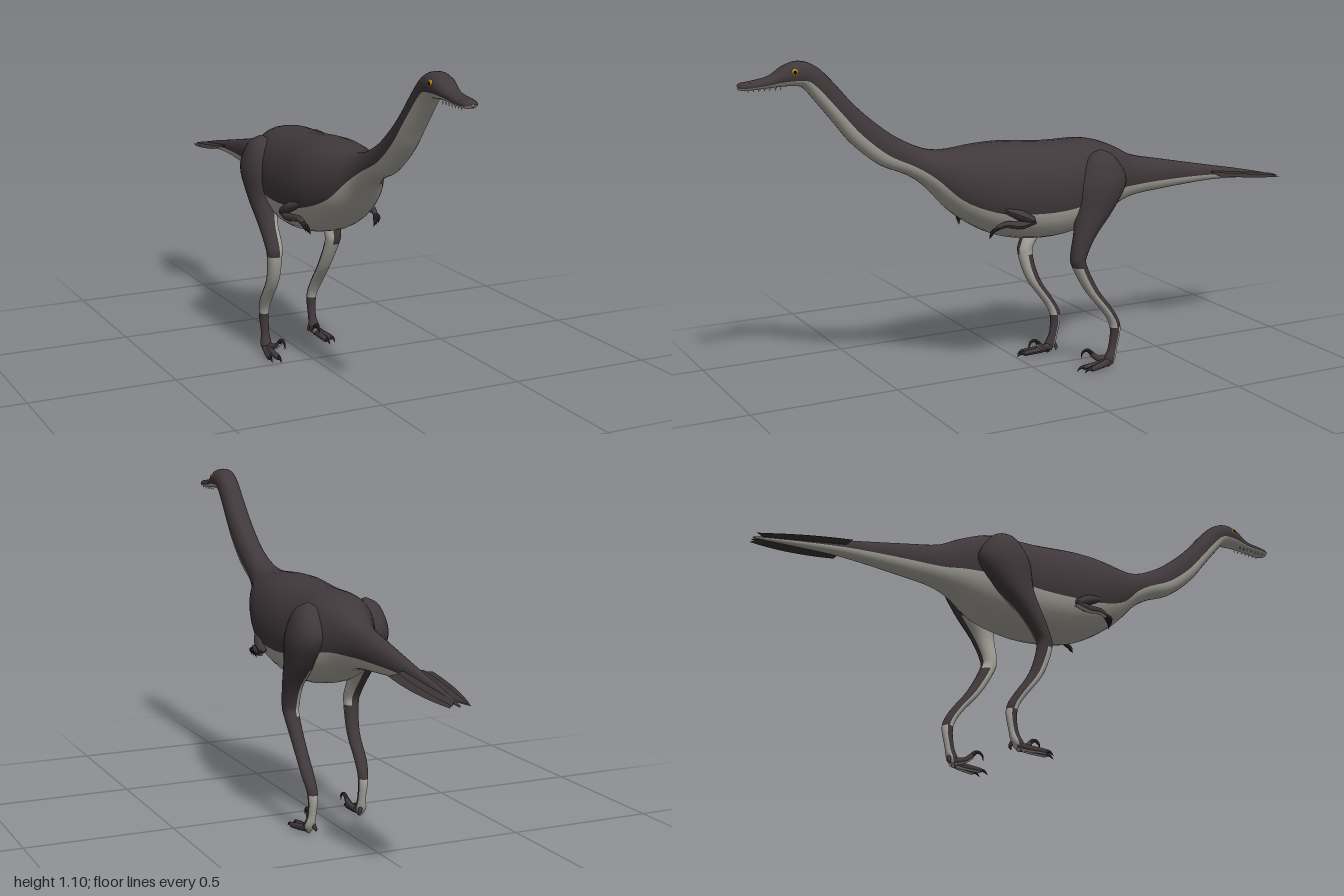
import * as THREE from 'three';

const mat = (name, color, side = THREE.FrontSide) => {
  const m = new THREE.MeshStandardMaterial({ color, side });
  m.name = name;
  return m;
};

// Catmull-Rom through rows of numbers, with `sub` steps between rows
function smoothRows(rows, sub) {
  const out = [], at = i => rows[Math.min(Math.max(i, 0), rows.length - 1)];
  for (let i = 0; i < rows.length - 1; i++) {
    for (let s = 0; s < sub; s++) {
      const t = s / sub;
      out.push(rows[i].map((b, k) => {
        const a = at(i - 1)[k], c = at(i + 1)[k], d = at(i + 2)[k];
        return b + 0.5 * t * (c - a + t * (2 * a - 5 * b + 4 * c - d + t * (3 * (b - c) + d - a)));
      }));
    }
  }
  out.push(rows[rows.length - 1]);
  return out;
}

// Two material groups: 0 = dark, 1 = pale
function setTones(geo, dark, pale) {
  geo.setIndex([...dark, ...pale]);
  geo.clearGroups();
  geo.addGroup(0, dark.length, 0);
  geo.addGroup(dark.length, pale.length, 1);
  return geo;
}

// Skin over closed rings: point(row, j) gives a position, isPale(row, j) the tone
function loft(rows, n, point, isPale, flip = false) {
  const pos = [], dark = [], pale = [];
  rows.forEach(r => { for (let j = 0; j < n; j++) pos.push(...point(r, j)); });
  for (let i = 0; i < rows.length - 1; i++) {
    for (let j = 0; j < n; j++) {
      const k = (j + 1) % n;
      const a = i * n + j, d = i * n + k, b = a + n, c = d + n;
      (isPale(rows[i], j) ? pale : dark).push(...(flip ? [a, c, d, a, b, c] : [a, d, c, a, c, b]));
    }
  }
  const geo = new THREE.BufferGeometry();
  geo.setAttribute('position', new THREE.Float32BufferAttribute(pos, 3));
  setTones(geo, dark, pale);
  geo.computeVertexNormals();
  return geo;
}

// Tapered tube through points [x, y, z, radius]; downward faces are pale
function taper(points, seg = 12, sides = 8) {
  const curve = new THREE.CatmullRomCurve3(points.map(p => new THREE.Vector3(p[0], p[1], p[2])));
  const geo = new THREE.TubeGeometry(curve, seg, 1, sides);
  const p = geo.attributes.position, v = new THREE.Vector3();
  for (let i = 0; i <= seg; i++) {
    const u = i / seg, c = curve.getPointAt(u);
    const f = curve.getUtoTmapping(u) * (points.length - 1);
    const k = Math.min(Math.floor(f), points.length - 2);
    const r = THREE.MathUtils.lerp(points[k][3], points[k + 1][3], f - k);
    for (let j = 0; j <= sides; j++) {
      const q = i * (sides + 1) + j;
      v.fromBufferAttribute(p, q).sub(c).multiplyScalar(r).add(c);
      p.setXYZ(q, v.x, v.y, v.z);
    }
  }
  const idx = geo.index.array, ny = geo.attributes.normal, dark = [], pale = [];
  for (let i = 0; i < idx.length; i += 3) {
    const y = (ny.getY(idx[i]) + ny.getY(idx[i + 1]) + ny.getY(idx[i + 2])) / 3;
    (y < -0.5 ? pale : dark).push(idx[i], idx[i + 1], idx[i + 2]);
  }
  setTones(geo, dark, pale);
  geo.computeVertexNormals();
  return geo;
}

export function createModel() {
  const model = new THREE.Group();
  const dark = mat('dark plumage', 0x40383a), pale = mat('pale plumage', 0xaaa89f);
  const feather = mat('tail feather', 0x3a3333, THREE.DoubleSide);
  const claw = mat('claw', 0x262121), yellow = mat('eye yellow', 0xb98d12);
  const black = mat('pupil', 0x0c0b0a), white = mat('tooth', 0xd8d5c8);
  const tones = [dark, pale];
  const add = (name, geo, m, parent = model) => {
    const mesh = new THREE.Mesh(geo, m);
    mesh.name = name;
    parent.add(mesh);
    return mesh;
  };

  // Tail, trunk, neck and head: [topZ, topY, bottomZ, bottomY, halfWidth, paleFraction]
  const body = smoothRows([
    [-1, 0.579, -1, 0.575, 0.003, 0.4],
    [-0.85, 0.613, -0.85, 0.583, 0.014, 0.4],
    [-0.7, 0.642, -0.7, 0.588, 0.024, 0.4],
    [-0.5, 0.682, -0.5, 0.577, 0.042, 0.35],
    [-0.38, 0.708, -0.38, 0.566, 0.057, 0.32],
    [-0.3, 0.748, -0.3, 0.54, 0.085, 0.34],
    [-0.2, 0.78, -0.2, 0.488, 0.13, 0.36],
    [-0.05, 0.782, -0.05, 0.462, 0.147, 0.34],
    [0.1, 0.794, 0.1, 0.475, 0.149, 0.31],
    [0.2, 0.793, 0.2, 0.51, 0.138, 0.28],
    [0.3, 0.785, 0.3, 0.577, 0.104, 0.27],
    [0.36, 0.788, 0.385, 0.665, 0.066, 0.32],
    [0.42, 0.805, 0.455, 0.715, 0.049, 0.36],
    [0.5, 0.847, 0.55, 0.757, 0.043, 0.38],
    [0.58, 0.908, 0.64, 0.832, 0.042, 0.38],
    [0.64, 0.964, 0.7, 0.906, 0.041, 0.38],
    [0.7, 1.032, 0.757, 0.976, 0.039, 0.36],
    [0.75, 1.08, 0.795, 1.018, 0.039, 0.32],
    [0.8, 1.1, 0.83, 1.025, 0.041, 0.25],
    [0.85, 1.09, 0.86, 1.026, 0.036, 0.25],
    [0.9, 1.06, 0.9, 1.024, 0.027, 0.32],
    [0.96, 1.048, 0.96, 1.021, 0.028, 0.35],
    [0.99, 1.044, 0.99, 1.022, 0.022, 0.35],
    [1, 1.035, 1, 1.028, 0.005, 0.35],
  ], 4);
  const upper = 20, lower = 12;
  add('body', loft(body, upper + lower, ([zt, yt, zb, yb, w, f], j) => {
    const split = Math.asin(2 * f - 1);
    const a = j < upper ? split + (Math.PI - 2 * split) * j / upper
      : Math.PI - split + (Math.PI + 2 * split) * (j - upper) / lower;
    const s = (1 + Math.sin(a)) / 2, c = Math.cos(a);
    return [w * Math.sign(c) * Math.abs(c) ** 0.8, yb + (yt - yb) * s, zb + (zt - zb) * s];
  }, (r, j) => j >= upper), tones);

  for (const side of [1, -1]) {
    const word = side > 0 ? 'left' : 'right';

    // Leg: [x, y, z, radiusX, radiusZ]; the right leg steps forward
    const step = y => side > 0 ? 0 : 0.015 + 0.09 * THREE.MathUtils.smoothstep(-y, -0.62, -0.2);
    const leg = smoothRows([
      [0.105, 0.757, -0.2, 0.002, 0.003],
      [0.11, 0.73, -0.2, 0.04, 0.05],
      [0.114, 0.65, -0.198, 0.061, 0.093],
      [0.12, 0.56, -0.17, 0.05, 0.07],
      [0.128, 0.48, -0.13, 0.034, 0.042],
      [0.126, 0.41, -0.107, 0.03, 0.028],
      [0.125, 0.37, -0.112, 0.026, 0.026],
      [0.12, 0.28, -0.163, 0.022, 0.024],
      [0.12, 0.2, -0.227, 0.021, 0.021],
      [0.116, 0.14, -0.258, 0.017, 0.019],
      [0.115, 0.07, -0.25, 0.014, 0.016],
      [0.118, 0.03, -0.236, 0.019, 0.019],
      [0.118, 0.004, -0.23, 0.004, 0.005],
    ], 4).map(([x, y, z, a, b]) => [x, y, z + step(y), a, b]);
    const n = 20, ang = j => j / n * Math.PI * 2;
    add(word + 'Leg', loft(leg, n,
      ([x, y, z, rx, rz], j) => [side * (x + rx * Math.cos(ang(j))), y, z + rz * Math.sin(ang(j))],
      ([, y], j) => {
        const a = ang(j + 0.5);
        if (y > 0.38) return y < 0.56 && Math.cos(a) < -0.45;
        return y > 0.14 ? Math.sin(a) > 0.1 : Math.sin(a) < -0.3;
      }, side < 0), tones);

    // Toes and claws, with a raised sickle claw on the inner toe
    const foot = new THREE.Group();
    foot.name = word + 'Foot';
    foot.position.z = step(0);
    model.add(foot);
    const limb = (name, pts, m, parent) =>
      add(name, taper(pts.map(([x, y, z, r]) => [side * x, y, z, r])), m, parent);
    for (const [x, z] of [[0.116, -0.135], [0.143, -0.15]]) {
      limb('toe', [[0.118, 0.024, -0.24, 0.015], [(x + 0.118) / 2, 0.017, -0.2, 0.012],
        [x, 0.012, z, 0.009], [x, 0.01, z + 0.006, 0.001]], tones, foot);
      limb('toeClaw', [[x, 0.014, z - 0.004, 0.007], [x + 0.001, 0.014, z + 0.012, 0.005],
        [x + 0.002, 0.003, z + 0.027, 0.0005]], claw, foot);
    }
    limb('raisedToe', [[0.112, 0.025, -0.235, 0.014], [0.1, 0.032, -0.2, 0.01],
      [0.094, 0.048, -0.178, 0.009], [0.093, 0.05, -0.172, 0.001]], tones, foot);
    limb('sickleClaw', [[0.094, 0.048, -0.182, 0.008], [0.092, 0.064, -0.162, 0.006],
      [0.09, 0.056, -0.145, 0.004], [0.09, 0.036, -0.14, 0.0005]], claw, foot);
    limb('rearToe', [[0.112, 0.04, -0.25, 0.008], [0.104, 0.022, -0.256, 0.006],
      [0.1, 0.012, -0.25, 0.0005]], dark, foot);

    // Small folded arm
    limb('upperArm', [[0.128, 0.595, 0.17, 0.01], [0.143, 0.575, 0.12, 0.018],
      [0.147, 0.553, 0.075, 0.013], [0.146, 0.55, 0.068, 0.001]], dark);
    limb('forearm', [[0.147, 0.552, 0.07, 0.012], [0.145, 0.542, 0.12, 0.014],
      [0.136, 0.548, 0.17, 0.011], [0.13, 0.538, 0.2, 0.008]], tones);
    for (const k of [-1, 0, 1]) {
      limb('finger', [[0.132, 0.541, 0.19, 0.007], [0.128 + k * 0.007, 0.528 + k * 0.004, 0.212, 0.006],
        [0.122 + k * 0.008, 0.508 + k * 0.006, 0.217, 0.0005]], claw);
    }

    // Eye with pupil
    const eye = add('eye', new THREE.SphereGeometry(0.011, 16, 10), yellow);
    eye.position.set(side * 0.035, 1.071, 0.829);
    eye.scale.x = 0.6;
    const pupil = add('pupil', new THREE.SphereGeometry(0.006, 12, 8), black);
    pupil.position.set(side * 0.0398, 1.071, 0.83);
    pupil.scale.x = 0.5;

    // Teeth and nostril
    for (let i = 0; i < 7; i++) {
      const tooth = add('tooth', new THREE.ConeGeometry(0.0028, 0.01, 6), white);
      tooth.position.set(side * 0.018, 1.02, 0.87 + i * 0.017);
      tooth.rotation.x = Math.PI;
    }
    const nostril = add('nostril', new THREE.SphereGeometry(0.004, 8, 6), black);
    nostril.position.set(side * 0.02, 1.042, 0.965);
    nostril.scale.set(0.5, 0.6, 1.6);

    // Flat tail fan: vanes that overlap, outermost lowest
    for (let k = 0; k < 2; k++) {
      const w = 0.075 - k * 0.03;
      const s = new THREE.Shape();
      s.moveTo(0, 0);
      s.lineTo(w, 0);
      s.quadraticCurveTo(w + 0.005, 0.16, 0.034 - k * 0.008, 0.297);
      s.lineTo(0.004, 0.27);
      s.closePath();
      const geo = new THREE.ShapeGeometry(s, 10);
      const p = geo.attributes.position;
      for (let i = 0; i < p.count; i++) {
        const x = p.getX(i), t = p.getY(i);
        p.setXYZ(i, side * x, 0.622 - t * 0.14 - x * 0.12 + k * 0.004, -0.7 - t);
      }
      geo.computeVertexNormals();
      add('tailFeather', geo, feather);
    }
  }
  return model;
}
